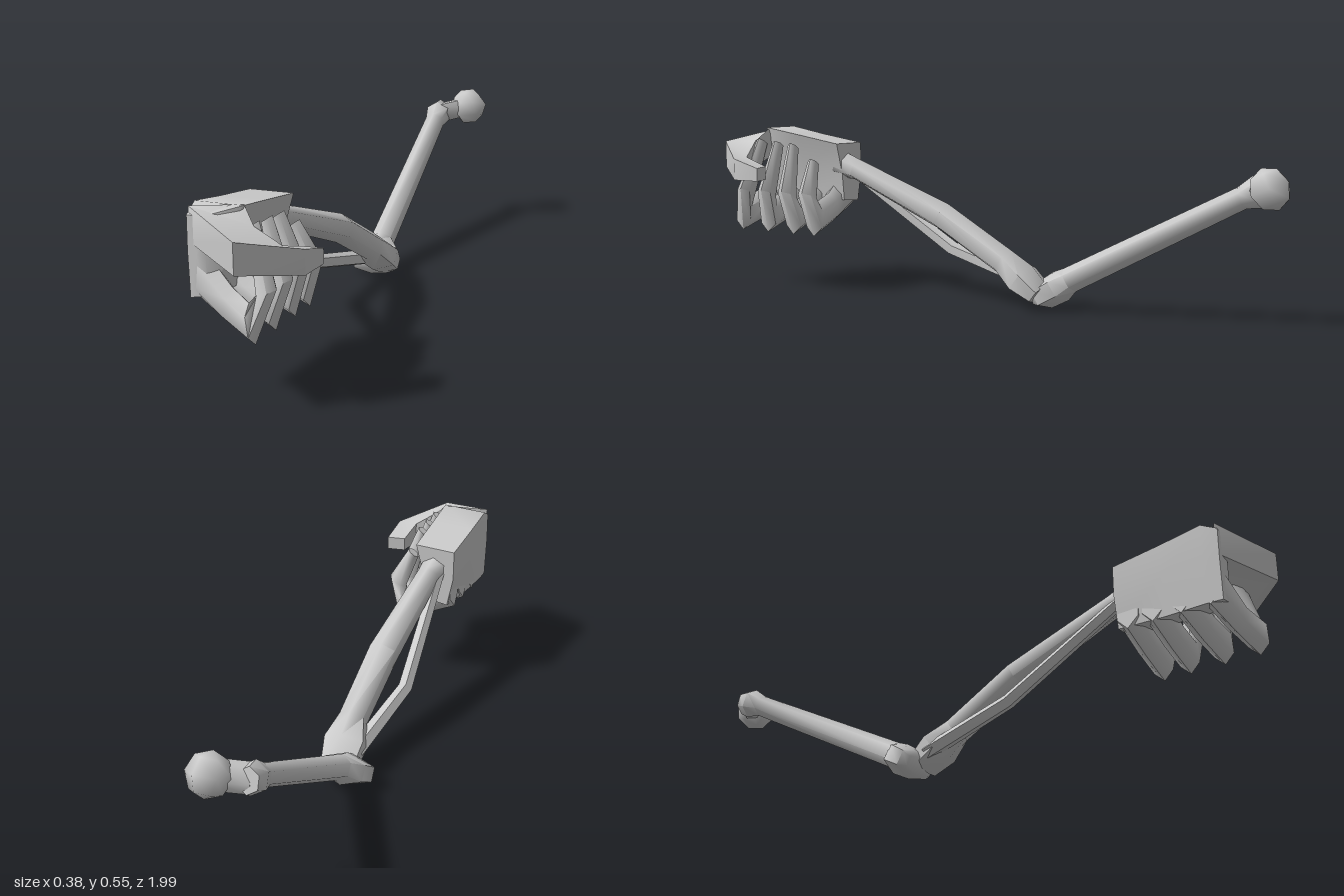
import * as THREE from 'three';
import { toCreasedNormals } from 'three/addons/utils/BufferGeometryUtils.js';

const V = (x, y, z) => new THREE.Vector3(x, y, z);
const material = new THREE.MeshStandardMaterial({ color: 0xcccccc });

// Closed skin over a list of rings (arrays of Vector3), capped at both ends
function loft(name, rings, crease = 1.1) {
  const n = rings[0].length;
  const tris = [];
  for (let i = 0; i < rings.length - 1; i++) {
    for (let j = 0; j < n; j++) {
      const k = (j + 1) % n;
      const [a, b, c, d] = [rings[i][j], rings[i][k], rings[i + 1][k], rings[i + 1][j]];
      tris.push([a, b, c], [a, c, d]);
    }
  }
  const cap = (ring, flip) => {
    const mid = ring.reduce((s, p) => s.add(p), V(0, 0, 0)).divideScalar(n);
    ring.forEach((p, j) => {
      const q = ring[(j + 1) % n];
      tris.push(flip ? [mid, q, p] : [mid, p, q]);
    });
  };
  cap(rings[0], true);
  cap(rings[rings.length - 1], false);
  // Turn the faces outward if the enclosed volume comes out negative
  const origin = rings[0][0];
  const volume = tris.reduce((s, [a, b, c]) => s + a.clone().sub(origin)
    .dot(b.clone().sub(origin).cross(c.clone().sub(origin))), 0);
  if (volume < 0) tris.forEach((t) => t.reverse());
  const geometry = new THREE.BufferGeometry().setFromPoints(tris.flat());
  const mesh = new THREE.Mesh(toCreasedNormals(geometry, crease), material);
  mesh.name = name;
  return mesh;
}

// Polygon around c with half axes u and v
function ring(c, u, v, n) {
  const s = n === 4 ? Math.SQRT2 : 1;
  return Array.from({ length: n }, (_, i) => {
    const a = ((i + 0.5) / n) * Math.PI * 2;
    return c.clone().addScaledVector(u, Math.cos(a) * s).addScaledVector(v, Math.sin(a) * s);
  });
}

// Bone along points [x, y, z, half width, half height]
function bone(name, pts, sides) {
  const c = pts.map((p) => V(p[0], p[1], p[2]));
  return loft(name, pts.map((p, i) => {
    const before = c[i].clone().sub(c[Math.max(i - 1, 0)]).normalize();
    const after = c[Math.min(i + 1, c.length - 1)].clone().sub(c[i]).normalize();
    const t = before.add(after).normalize();
    const up = t.clone().cross(V(1, 0, 0)).normalize();
    const side = up.clone().cross(t);
    return ring(c[i], side.multiplyScalar(p[3]), up.multiplyScalar(p[4]), sides);
  }));
}

// Digit from pairs of outer and inner points, with a half width along one axis
function digit(name, pairs, axis, sides) {
  return loft(name, pairs.map(([outer, inner, w]) => ring(
    outer.clone().add(inner).multiplyScalar(0.5),
    axis.clone().multiplyScalar(w),
    inner.clone().sub(outer).multiplyScalar(0.5), sides)));
}

export function createModel() {
  const arm = new THREE.Group();
  arm.name = 'skeletonArm';

  // Upper arm
  arm.add(bone('upperArmBone', [
    [-0.152, 0.425, -0.9, 0.035, 0.04],
    [-0.15, 0.415, -0.865, 0.046, 0.05],
    [-0.146, 0.395, -0.82, 0.035, 0.035],
    [-0.107, 0.1, -0.27, 0.04, 0.042],
    [-0.107, 0.078, -0.24, 0.08, 0.052],
    [-0.107, 0.045, -0.185, 0.088, 0.048],
    [-0.107, 0.035, -0.165, 0.07, 0.03],
  ], 6));
  arm.add(loft('shoulderNeck', [
    ring(V(-0.15, 0.415, -0.87), V(0, 0.04, 0.01), V(0.01, 0, 0.035), 6),
    ring(V(-0.06, 0.438, -0.93), V(0, 0.04, 0.01), V(0.01, 0, 0.035), 6),
  ]));
  const ball = new THREE.Mesh(new THREE.SphereGeometry(0.066, 6, 4), material);
  ball.name = 'shoulderBall';
  ball.position.set(-0.057, 0.438, -0.935);
  ball.rotation.set(0.45, 0.3, 0);
  arm.add(ball);

  // Forearm
  arm.add(bone('thickForearmBone', [
    [-0.066, 0.432, 0.59, 0.048, 0.045],
    [-0.063, 0.415, 0.52, 0.04, 0.036],
    [-0.055, 0.28, 0.17, 0.052, 0.046],
    [-0.055, 0.15, -0.06, 0.048, 0.046],
    [-0.06, 0.1, -0.125, 0.076, 0.055],
    [-0.065, 0.055, -0.185, 0.064, 0.038],
  ], 6));
  arm.add(bone('thinForearmBone', [
    [-0.085, 0.42, 0.57, 0.02, 0.02],
    [-0.13, 0.16, 0.18, 0.024, 0.024],
    [-0.1, 0.08, -0.14, 0.028, 0.026],
  ], 5));

  // Palm, from cross-sections that follow the hand from wrist to thumb side
  const palmSections = [
    [0.56, [-0.14, 0.5], [0, 0.505], [-0.03, 0.4], [-0.04, 0.31], [-0.12, 0.3], [-0.14, 0.4]],
    [0.72, [-0.14, 0.523], [0.005, 0.53], [-0.03, 0.42], [-0.04, 0.31], [-0.13, 0.29], [-0.142, 0.42]],
    [0.85, [-0.14, 0.545], [0.01, 0.55], [-0.02, 0.43], [-0.04, 0.31], [-0.135, 0.29], [-0.142, 0.43]],
    [0.9, [-0.135, 0.52], [-0.09, 0.52], [-0.08, 0.42], [-0.08, 0.3], [-0.132, 0.29], [-0.136, 0.42]],
  ];
  arm.add(loft('palm', palmSections.map(([z, ...pts]) => pts.map(([x, y]) => V(x, y, z))), 0.9));

  // Four curled fingers: z at the base, the middle knuckle and the tip, and tip height
  [
    [0.862, 0.915, 0.85, 0.515],
    [0.77, 0.805, 0.78, 0.51],
    [0.68, 0.695, 0.715, 0.505],
    [0.598, 0.608, 0.63, 0.455],
  ].forEach(([base, knuckle, tip, top], i) => {
    const joint = (knuckle + tip) / 2;
    arm.add(digit(`finger${i + 1}`, [
      [V(-0.135, 0.285, base), V(-0.12, 0.43, base), 0.04],
      [V(-0.03, 0.235, (base + knuckle) / 2), V(-0.01, 0.335, (base + knuckle) / 2), 0.036],
      [V(0.072, 0.195, knuckle), V(0.055, 0.31, knuckle), 0.036],
      [V(0.12, 0.345, joint), V(0.058, 0.32, joint), 0.031],
      [V(0.055, top, tip), V(0.02, top - 0.025, tip), 0.018],
    ], V(0, 0, 1), 6));
  });

  // Thumb reaching across the front of the fingers
  arm.add(digit('thumb', [
    [V(-0.135, 0.492, 0.89), V(0.005, 0.5, 0.84), 0.05],
    [V(0.06, 0.455, 0.995), V(0.05, 0.46, 0.87), 0.045],
    [V(0.188, 0.42, 0.85), V(0.122, 0.42, 0.85), 0.036],
    [V(0.19, 0.407, 0.75), V(0.13, 0.407, 0.762), 0.022],
  ], V(0, 1, 0), 4));

  return arm;
}
